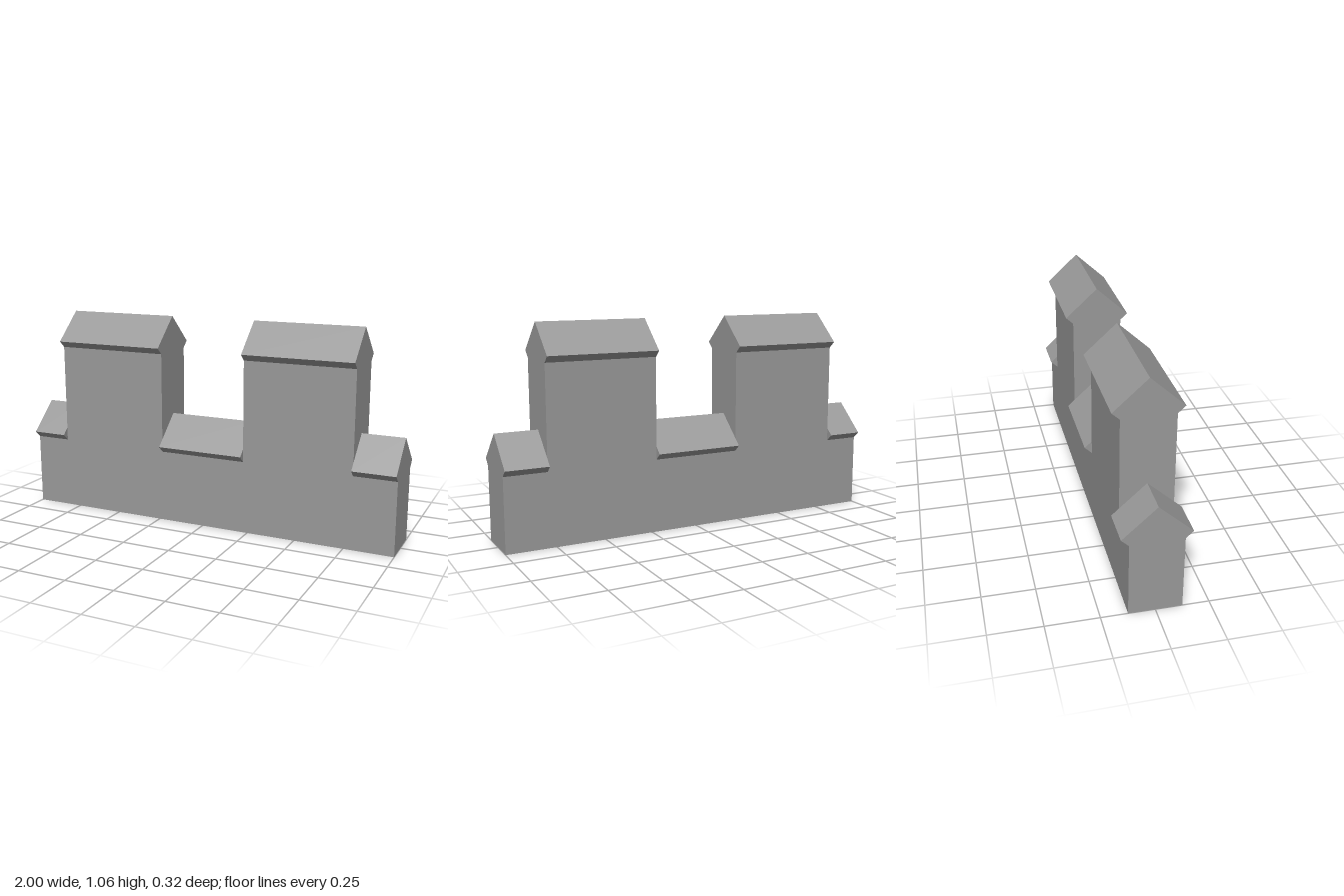
import * as THREE from 'three';

const HALF_DEPTH = 0.125;  // wall half thickness
const EAVE = 0.161;        // coping overhang, measured from the centre
const LOW = 0.37, HIGH = 0.88;

// [start x, end x, wall height] of each stretch, along the wall
const SECTIONS = [
  [-1, -0.815, LOW],
  [-0.815, -0.228, HIGH],
  [-0.228, 0.225, LOW],
  [0.225, 0.787, HIGH],
  [0.787, 1, LOW],
];

const material = new THREE.MeshStandardMaterial({ color: 0x999999, flatShading: true });

function extrude(points, depth) {
  const shape = new THREE.Shape(points.map(([x, y]) => new THREE.Vector2(x, y)));
  return new THREE.ExtrudeGeometry(shape, { depth, bevelEnabled: false });
}

function addMesh(group, name, geometry) {
  const mesh = new THREE.Mesh(geometry, material);
  mesh.name = name;
  group.add(mesh);
  return mesh;
}

export function createModel() {
  const model = new THREE.Group();
  model.name = 'battlement';

  // Stepped wall: one outline following the merlons and gaps
  const outline = [[-1, 0], [1, 0]];
  for (const [x0, x1, top] of [...SECTIONS].reverse()) outline.push([x1, top], [x0, top]);
  const wall = extrude(outline, HALF_DEPTH * 2);
  wall.translate(0, 0, -HALF_DEPTH);
  addMesh(model, 'wall', wall);

  // Pointed coping with undercut eaves on each stretch
  const profile = [
    [-HALF_DEPTH, 0], [HALF_DEPTH, 0], [EAVE, 0.033], [0, 0.18], [-EAVE, 0.033],
  ];
  for (const [x0, x1, top] of SECTIONS) {
    const coping = extrude(profile, x1 - x0);
    coping.rotateY(Math.PI / 2);
    addMesh(model, top === HIGH ? 'merlonCoping' : 'gapCoping', coping).position.set(x0, top, 0);
  }
  return model;
}
